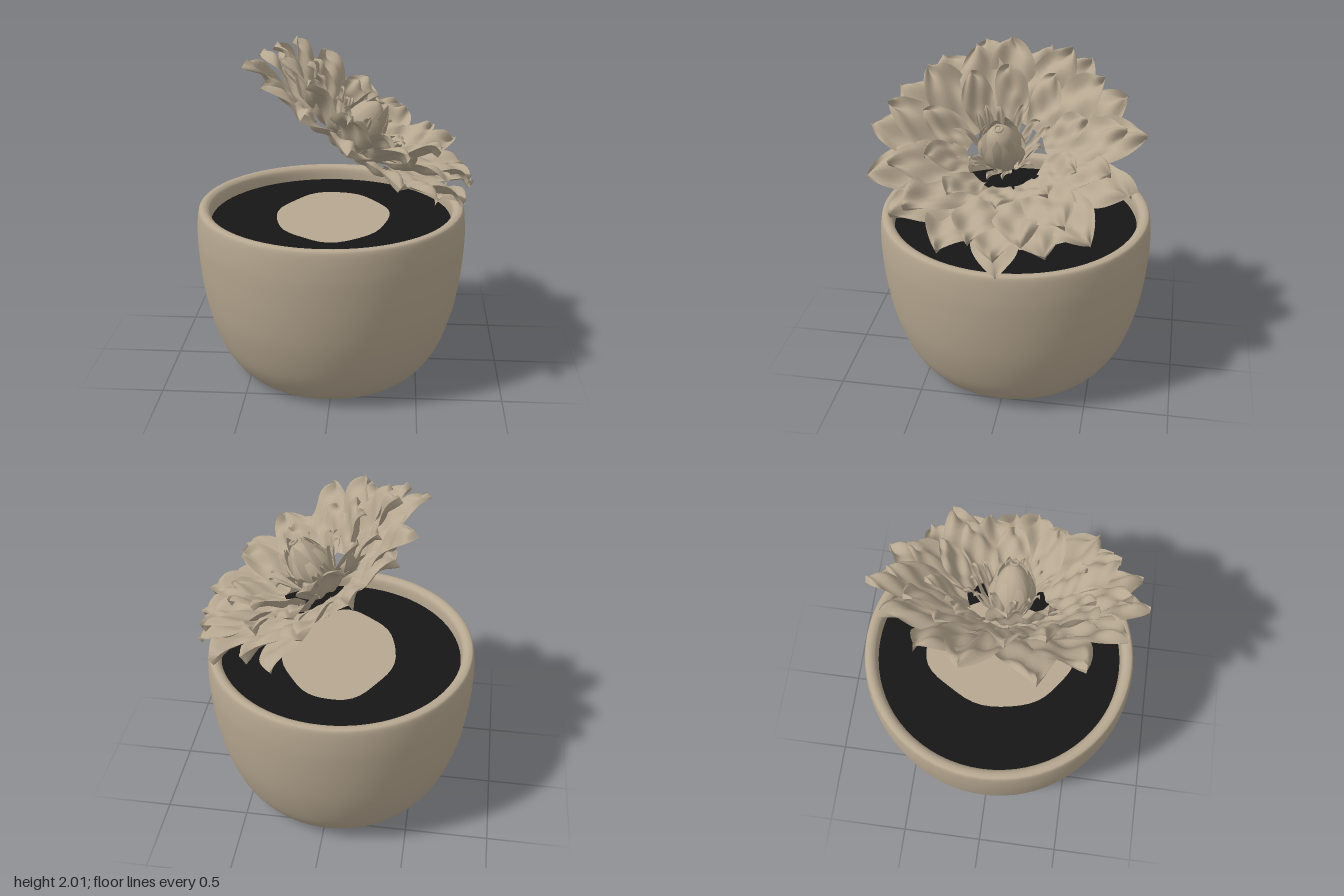
import * as THREE from 'three';

const clay = new THREE.MeshStandardMaterial({ color: 0xb6a790, side: THREE.DoubleSide });
clay.name = 'beige clay';
const black = new THREE.MeshStandardMaterial({ color: 0x161616 });
black.name = 'black soil';

// seeded noise in -1..1
let seed = 7;
const rnd = () => {
  seed = (seed * 16807) % 2147483647;
  return (seed / 2147483647) * 2 - 1;
};

function add(parent, name, geometry, material) {
  const mesh = new THREE.Mesh(geometry, material);
  mesh.name = name;
  parent.add(mesh);
  return mesh;
}

function lathe(points, samples, segments) {
  const curve = new THREE.SplineCurve(points.map(([r, y]) => new THREE.Vector2(r, y)));
  const profile = curve.getPoints(samples);
  profile.forEach(p => { p.x = Math.max(p.x, 0); });
  return new THREE.LatheGeometry(profile, segments);
}

// Broad, pointed, creased petal running outward along +x and rising from h0 to h1
function petalGeometry({ r0, r1, h0, h1, width, ripple, cup }) {
  const g = new THREE.PlaneGeometry(1, 1, 12, 18);
  const p = g.attributes.position;
  const phase = rnd() * 3;
  const skew = rnd() * 0.06;
  const slant = rnd() > 0 ? 1 : -1;
  for (let i = 0; i < p.count; i++) {
    const v = p.getX(i) * 2;
    const u = p.getY(i) + 0.5;
    const half = 0.5 * width * Math.pow(Math.max(0, Math.sin(Math.PI * (0.15 + 0.85 * u ** 1.3))), 0.8);
    const wave = Math.sin(slant * v * 3.5 + u * 8 + phase) + 0.45 * Math.sin(slant * v * 6 - u * 9 + phase * 2);
    const folds = ripple * wave * Math.min(1, 0.3 + 2 * u);
    const curl = 0.035 * Math.sin(Math.PI * u ** 3);
    p.setXYZ(i,
      r0 + (r1 - r0) * u,
      h0 + (h1 - h0) * u + folds + curl + cup * v * v * (1 - u),
      half * v + skew * u * u);
  }
  g.computeVertexNormals();
  return g;
}

// Overlapping bud petal wrapped round the flower axis
function budPetalGeometry(bulge, height, spread) {
  const g = new THREE.PlaneGeometry(1, 1, 6, 12);
  const p = g.attributes.position;
  for (let i = 0; i < p.count; i++) {
    const u = p.getY(i) + 0.5;
    const a = p.getX(i) * spread * Math.pow(Math.max(0, 1 - u ** 3), 0.7);
    const r = 0.03 + bulge * Math.pow(Math.sin(Math.PI * (0.08 + 0.78 * u)), 0.8);
    p.setXYZ(i, r * Math.cos(a), height * u, r * Math.sin(a));
  }
  g.computeVertexNormals();
  return g;
}

function createPot() {
  const pot = new THREE.Group();
  pot.name = 'pot';
  pot.position.x = -0.028;
  pot.scale.x = 0.985;

  // wall, rounded rim and inside lip
  add(pot, 'potWall', lathe([
    [0.54, 0], [0.615, 0.07], [0.695, 0.2], [0.762, 0.4], [0.798, 0.6], [0.815, 0.8],
    [0.815, 0.92], [0.805, 1.015], [0.785, 1.035], [0.755, 1.03], [0.735, 1.0], [0.73, 0.9],
  ], 70, 72), clay);

  const base = add(pot, 'potBase', new THREE.CircleGeometry(0.54, 72), clay);
  base.rotation.x = Math.PI / 2;

  const soil = add(pot, 'soil', new THREE.CircleGeometry(0.733, 72), black);
  soil.rotation.x = -Math.PI / 2;
  soil.position.y = 0.945;

  // pale uneven patch in the middle of the soil
  const outline = new THREE.Shape();
  for (let i = 0; i < 48; i++) {
    const a = (i / 48) * Math.PI * 2;
    const k = 1 + 0.02 * Math.sin(4 * a + 1) + 0.015 * Math.sin(7 * a);
    const x = 0.34 * k * Math.cos(a), y = 0.44 * k * Math.sin(a);
    if (i) outline.lineTo(x, y); else outline.moveTo(x, y);
  }
  const patch = add(pot, 'soilPatch', new THREE.ShapeGeometry(outline), clay);
  patch.rotation.x = -Math.PI / 2;
  patch.position.set(0.01, 0.95, 0);
  return pot;
}

function createFlower() {
  const flower = new THREE.Group();
  flower.name = 'flower';
  flower.position.set(0.08, 1.4, 0.03);
  flower.rotation.z = THREE.MathUtils.degToRad(-33);

  // petal rings, from the wide outer one to the slender ones by the bud
  const rings = [
    { name: 'outerPetal', count: 15, r0: 0.27, r1: 0.77, h0: 0.03, h1: 0.16, width: 0.32, ripple: 0.022, cup: 0.02 },
    { name: 'middlePetal', count: 13, r0: 0.23, r1: 0.67, h0: 0.05, h1: 0.25, width: 0.28, ripple: 0.022, cup: 0.02 },
    { name: 'innerPetal', count: 10, r0: 0.22, r1: 0.48, h0: 0.06, h1: 0.27, width: 0.2, ripple: 0.018, cup: 0.02 },
    { name: 'slenderPetal', count: 14, r0: 0.07, r1: 0.24, h0: 0, h1: 0.22, width: 0.055, ripple: 0.007, cup: 0.01 },
  ];
  rings.forEach(({ name, count, ...shape }, ring) => {
    for (let i = 0; i < count; i++) {
      const petal = add(flower, name, petalGeometry({
        ...shape,
        r1: shape.r1 + rnd() * 0.03,
        h1: shape.h1 + rnd() * 0.04,
      }), clay);
      petal.rotation.y = ((i + ring * 0.5) / count) * Math.PI * 2 + rnd() * 0.06;
    }
  });

  // smooth loose petals below the rings, one downhill and one to the back
  [[0, 0.06], [1.27, 0.04]].forEach(([angle, h1]) => {
    const petal = add(flower, 'loosePetal', petalGeometry({
      r0: 0.34, r1: 0.78, h0: 0.02, h1, width: 0.27, ripple: 0.006, cup: 0.01,
    }), clay);
    petal.rotation.y = angle;
  });

  // closed bud with two layers of wrapped petals and a curled tip
  const bud = new THREE.Group();
  bud.name = 'bud';
  bud.position.z = 0.02;
  flower.add(bud);
  add(bud, 'budCore', lathe([
    [0, -0.03], [0.05, -0.01], [0.09, 0.08], [0.1, 0.17], [0.065, 0.27], [0, 0.32],
  ], 30, 24), clay);
  [[0.085, 0.34, 1.0, 7], [0.105, 0.3, 0.6, 8]].forEach(([bulge, height, spread, count], layer) => {
    for (let i = 0; i < count; i++) {
      const petal = add(bud, 'budPetal', budPetalGeometry(bulge, height + rnd() * 0.03, spread), clay);
      petal.position.y = -0.02;
      petal.rotation.y = ((i + layer * 0.5) / count) * Math.PI * 2;
    }
  });
  const tip = add(bud, 'budTip', new THREE.TorusGeometry(0.022, 0.008, 8, 20), clay);
  tip.rotation.x = Math.PI / 2;
  tip.position.y = 0.325;
  return flower;
}

export function createModel() {
  const model = new THREE.Group();
  model.name = 'pottedFlower';
  model.add(createPot(), createFlower());
  return model;
}
